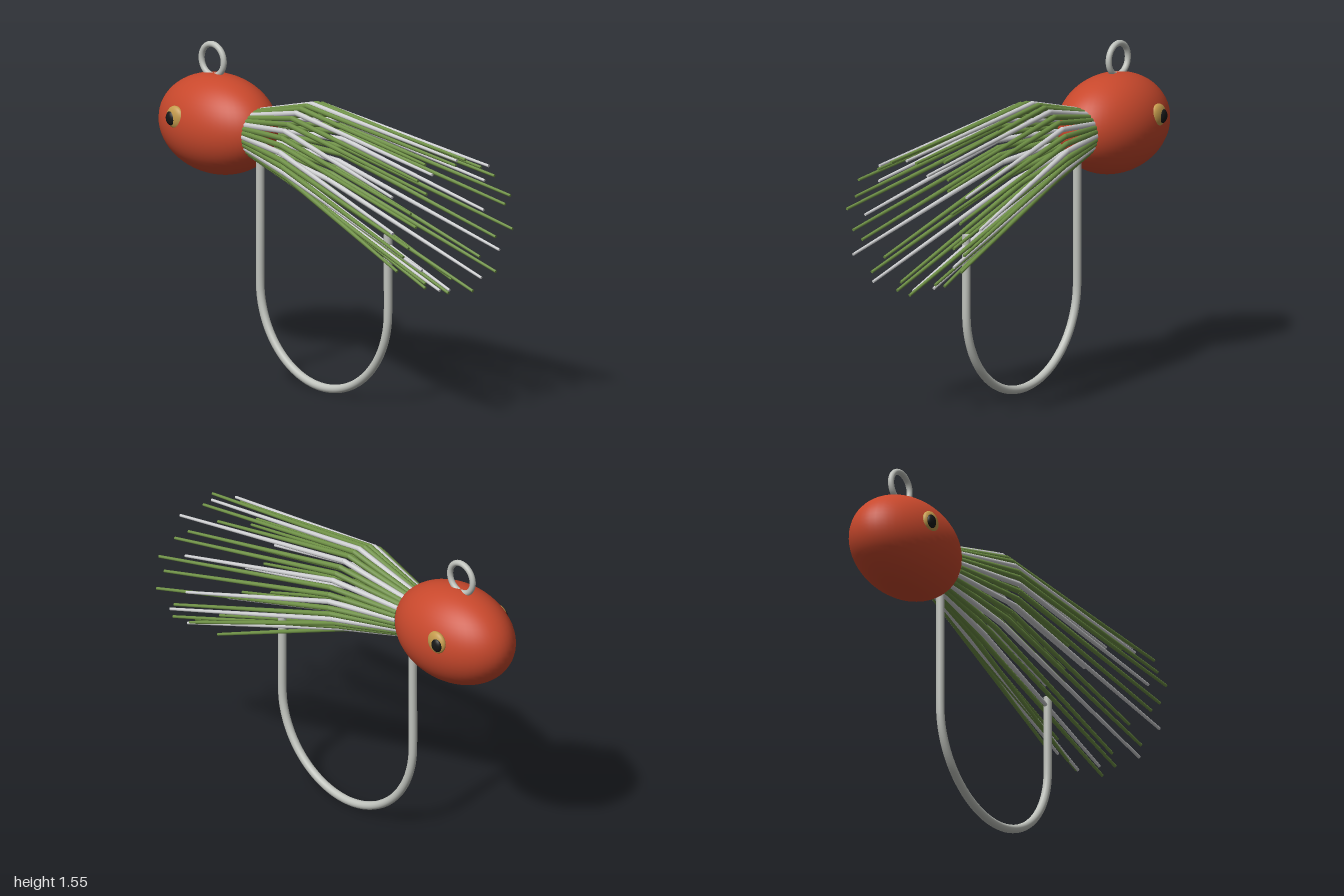
import * as THREE from 'three';
import { mergeGeometries } from 'three/addons/utils/BufferGeometryUtils.js';

const material = (name, color) => {
  const m = new THREE.MeshStandardMaterial({ color });
  m.name = name;
  return m;
};

const AXIS_Y = 1.163; // height of the head and skirt axis

// Tapered round rod between two points
function rod(a, b, ra, rb) {
  const dir = b.clone().sub(a);
  const g = new THREE.CylinderGeometry(rb, ra, dir.length(), 8);
  g.applyQuaternion(new THREE.Quaternion().setFromUnitVectors(
    new THREE.Vector3(0, 1, 0), dir.normalize()));
  const mid = a.clone().add(b).multiplyScalar(0.5);
  return g.translate(mid.x, mid.y, mid.z);
}

export function createModel() {
  const model = new THREE.Group();
  model.name = 'jigLure';
  const red = material('red paint', 0xc8482c);
  const steel = material('steel', 0xbfc2bc);
  const green = material('green strand', 0x6f9146);
  const silver = material('silver strand', 0xcfd0d2);
  const gold = material('gold eye', 0xc39a4c);
  const black = material('black pupil', 0x161616);

  const add = (name, geometry, mat) => {
    const mesh = new THREE.Mesh(geometry, mat);
    mesh.name = name;
    model.add(mesh);
    return mesh;
  };
  const ellipsoid = (name, mat, pos, radii) => {
    const mesh = add(name, new THREE.SphereGeometry(1, 48, 32), mat);
    mesh.position.set(...pos);
    mesh.scale.set(...radii);
    return mesh;
  };

  // Egg-shaped head with an eye on each side
  ellipsoid('head', red, [-0.665, AXIS_Y, 0], [0.335, 0.238, 0.22]);
  for (const [side, s] of [['left', 1], ['right', -1]]) {
    ellipsoid(side + 'Eye', gold, [-0.745, 1.21, s * 0.2], [0.055, 0.055, 0.026]);
    ellipsoid(side + 'Pupil', black, [-0.76, 1.206, s * 0.216], [0.03, 0.034, 0.018]);
  }

  // Line tie ring on top of the head
  add('lineTie', new THREE.TorusGeometry(0.075, 0.0145, 16, 48), steel)
    .position.set(-0.705, 1.46, 0);

  // Hook: shank, half-circle bend and point leg
  const path = [new THREE.Vector3(-0.383, 1.12, 0), new THREE.Vector3(-0.383, 0.8, 0)];
  for (let i = 0; i <= 24; i++) {
    const a = Math.PI * (1 + i / 24);
    path.push(new THREE.Vector3(0.05 + 0.433 * Math.cos(a), 0.453 + 0.433 * Math.sin(a), 0));
  }
  path.push(new THREE.Vector3(0.483, 0.64, 0), new THREE.Vector3(0.483, 0.83, 0));
  const curve = new THREE.CatmullRomCurve3(path, false, 'centripetal');
  add('hook', new THREE.TubeGeometry(curve, 120, 0.02, 16), steel);
  const tip = add('hookTip', new THREE.CircleGeometry(0.02, 16), steel);
  tip.rotation.x = -Math.PI / 2;
  tip.position.set(0.483, 0.83, 0);

  // Skirt: 36 bent strands flaring out and drooping, every third one silver
  const strands = { green: [], silver: [] };
  const ends = [0.95, 1.0, 0.85, 0.95, 0.9, 1.0, 0.8];
  for (let i = 0; i < 36; i++) {
    const a = (i / 36) * Math.PI * 2;
    const at = (x, y, r) => new THREE.Vector3(x, y + r * Math.cos(a), r * Math.sin(a));
    const root = at(-0.38, AXIS_Y, 0.11);
    const bend = at(-0.03, AXIS_Y, 0.202);
    const end = at(ends[i % ends.length], 0.95, 0.315);
    const joint = new THREE.SphereGeometry(0.013, 8, 6).translate(bend.x, bend.y, bend.z);
    strands[i % 3 ? 'green' : 'silver'].push(
      rod(root, bend, 0.014, 0.013), joint, rod(bend, end, 0.013, 0.007));
  }
  add('greenStrands', mergeGeometries(strands.green), green);
  add('silverStrands', mergeGeometries(strands.silver), silver);

  return model;
}
